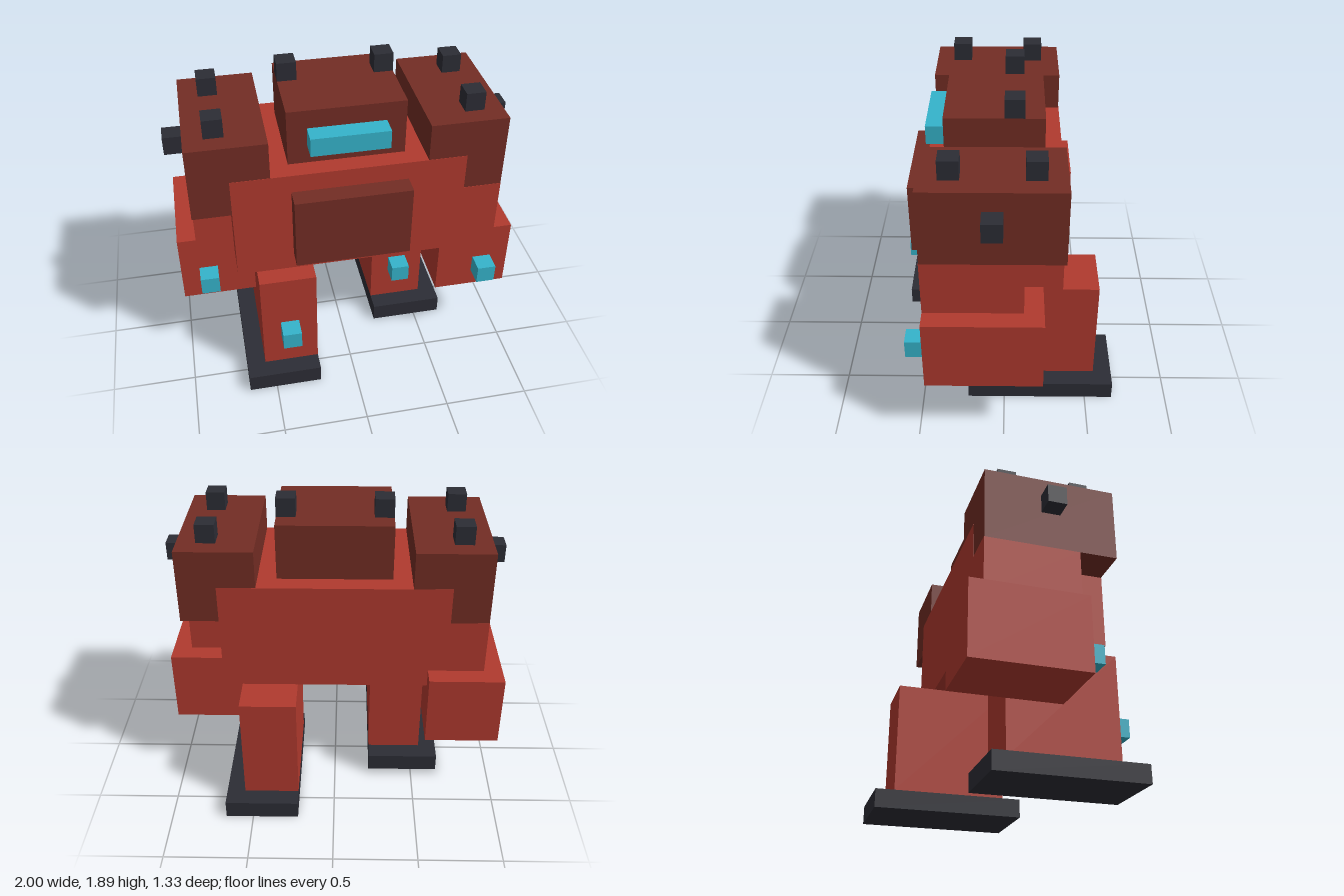
import * as THREE from 'three';

const U = 1 / 9; // one block unit

const mat = (name, color) => {
  const m = new THREE.MeshStandardMaterial({ color });
  m.name = name;
  return m;
};

export function createModel() {
  const red = mat('red armour', 0xb03a2e);
  const maroon = mat('dark red armour', 0x732d24);
  const dark = mat('dark metal', 0x2c2d35);
  const cyan = mat('cyan light', 0x35b4cb);

  const robot = new THREE.Group();
  robot.name = 'robot';

  // Box from min and max corners given in block units
  const block = (parent, name, material, [x0, y0, z0], [x1, y1, z1]) => {
    const geo = new THREE.BoxGeometry((x1 - x0) * U, (y1 - y0) * U, (z1 - z0) * U);
    const mesh = new THREE.Mesh(geo, material);
    mesh.position.set((x0 + x1) / 2, (y0 + y1) / 2, (z0 + z1) / 2).multiplyScalar(U);
    mesh.name = name;
    parent.add(mesh);
  };

  // Body and head
  block(robot, 'torso', red, [-6, 7, -3], [6, 13, 4]);
  block(robot, 'chestPanel', maroon, [-3, 8, 4], [3, 12, 5]);
  block(robot, 'head', maroon, [-3, 13, -2], [3, 16, 3]);
  block(robot, 'visor', cyan, [-2, 14, 3], [2, 15, 4]);

  for (const side of [1, -1]) {
    const label = side > 0 ? 'left' : 'right';
    const group = (part) => {
      const g = new THREE.Group();
      g.name = label + part;
      robot.add(g);
      return g;
    };
    // Box on the left side (+x), mirrored for the right
    const sided = (parent, name, material, [x0, y0, z0], [x1, y1, z1]) =>
      side > 0
        ? block(parent, name, material, [x0, y0, z0], [x1, y1, z1])
        : block(parent, name, material, [-x1, y0, z0], [-x0, y1, z1]);

    sided(robot, label + 'Antenna', dark, [2, 16, -1], [3, 17, 0]);

    // Shoulder, a hair shallower than the torso it runs into
    const shoulder = group('Shoulder');
    sided(shoulder, 'shoulderPad', maroon, [4, 11, -2.98], [8, 15, 3.98]);
    for (const z of [-2, 2]) sided(shoulder, 'topBolt', dark, [6, 15, z], [7, 16, z + 1]);
    sided(shoulder, 'sideBolt', dark, [8, 13, 0], [9, 14, 1]);

    // Arm: the left one swings forward, the right one back
    const arm = group('Arm');
    const a = side > 0 ? 0 : -2;
    const upperBack = side > 0 ? -1 : -3;
    sided(arm, 'upperArm', red, [5, 8, upperBack], [8, 11, upperBack + 5]);
    sided(arm, 'forearm', red, [5, 4, a - 2], [9, 8, a + 4]);
    sided(arm, 'handLight', cyan, [7, 5, a + 4], [8, 6, a + 5]);

    // Leg: the left one steps back, the right one forward
    const leg = group('Leg');
    const l = side > 0 ? -2 : 2;
    sided(leg, 'foot', dark, [2, 0, l - 4], [6, 1, l + 4]);
    sided(leg, 'shin', red, [2, 1, l - 3], [5, 7, l + 3]);
    sided(leg, 'kneeLight', cyan, [3, 3, l + 3], [4, 4, l + 4]);
  }

  return robot;
}
